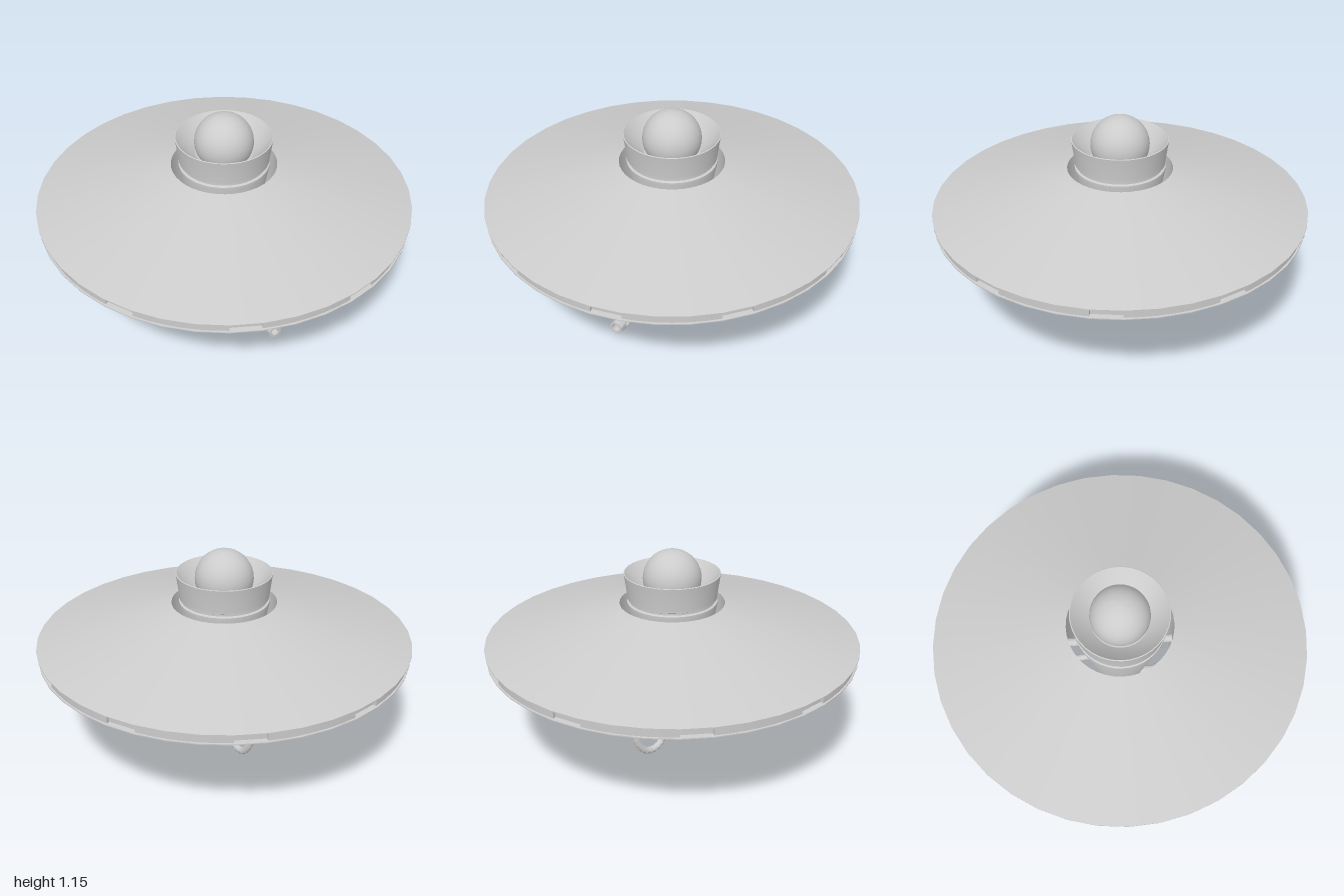
import * as THREE from 'three';
import { toCreasedNormals } from 'three/addons/utils/BufferGeometryUtils.js';

const material = new THREE.MeshStandardMaterial({ color: 0xcccccc, side: THREE.DoubleSide });

function part(name, geometry, parent, crease = 0.5) {
  const mesh = new THREE.Mesh(toCreasedNormals(geometry, crease), material);
  mesh.name = name;
  parent.add(mesh);
  return mesh;
}

function lathe(points, segments) {
  return new THREE.LatheGeometry(points.map(([r, y]) => new THREE.Vector2(r, y)), segments);
}

// Solid arc of a ring, extruded along z from z0 to z1
function arcBlock(r0, r1, a0, a1, z0, z1, curveSegments) {
  const shape = new THREE.Shape();
  if (a1 - a0 > 6.28) {
    shape.absarc(0, 0, r1, 0, Math.PI * 2, false);
    shape.holes.push(new THREE.Path().absarc(0, 0, r0, 0, Math.PI * 2, true));
  } else {
    shape.absarc(0, 0, r1, a0, a1, false);
    shape.absarc(0, 0, r0, a1, a0, true);
  }
  return new THREE.ExtrudeGeometry(shape, { depth: z1 - z0, bevelEnabled: false, curveSegments })
    .translate(0, 0, z0);
}

// Side profile given as [z, y], extruded across x and centred on x
function sidePlate(points, width, x) {
  const shape = new THREE.Shape(points.map(([z, y]) => new THREE.Vector2(-z, y)));
  return new THREE.ExtrudeGeometry(shape, { depth: width, bevelEnabled: false })
    .translate(0, 0, -width / 2).rotateY(Math.PI / 2).translate(x, 0, 0);
}

export function createModel() {
  const model = new THREE.Group();
  model.name = 'hoveringDisc';

  // Double-cone disc with a central hole and a recessed rim
  part('disc', lathe([
    [0.28, 0.42], [0.993, 0.615], [0.993, 0.62], [0.965, 0.622], [0.965, 0.668],
    [1, 0.668], [1, 0.673], [0.28, 0.87], [0.28, 0.42],
  ], 40), model);

  // Rim panels with narrow gaps between them
  const rim = new THREE.Group();
  rim.name = 'rimPanels';
  model.add(rim);
  const step = Math.PI / 20;
  for (let i = 0; i < 10; i++) {
    const a = i * 4 * step;
    part('rimPanel', arcBlock(0.96, 0.982, a, a + 3 * step, 0.62, 0.67, 3)
      .rotateX(-Math.PI / 2), rim);
  }

  // Central body: tapered core, grooved neck and bowl-shaped collar
  part('core', lathe([
    [0, 0.37], [0.145, 0.37], [0.24, 0.865], [0.24, 0.88], [0.228, 0.885],
    [0.228, 0.895], [0.238, 0.9], [0.238, 0.91], [0.255, 1.035],
    [0.25, 1.037], [0.19, 0.97], [0.15, 0.94], [0, 0.94],
  ], 40), model);
  part('dome', new THREE.SphereGeometry(0.155, 32, 20).translate(0, 1.003, 0), model, 1);

  // Pins joining the body to the disc
  for (const s of [1, -1]) {
    part('pivotPin', new THREE.CylinderGeometry(0.022, 0.022, 0.12, 12)
      .rotateX(Math.PI / 2).translate(0, 0.645, s * 0.23), model);
  }

  // Tapered hanger plates with rounded lower ends
  const hanger = [[0.06, 0.38], [0.027, 0.125]];
  for (let i = 1; i < 6; i++) {
    const a = i * Math.PI / 6;
    hanger.push([0.027 * Math.cos(a), 0.125 - 0.025 * Math.sin(a)]);
  }
  hanger.push([-0.027, 0.125], [-0.06, 0.38]);
  for (const s of [1, -1]) part('hanger', sidePlate(hanger, 0.03, s * 0.06), model);

  // Tilting gun: axle, breech block and slotted barrel
  const gun = new THREE.Group();
  gun.name = 'gun';
  model.add(gun);
  part('axle', new THREE.CylinderGeometry(0.022, 0.022, 0.14, 16)
    .rotateZ(Math.PI / 2).translate(0, 0.125, 0), gun);
  part('breech', sidePlate([
    [0.08, 0.085], [0.08, 0.147], [0.045, 0.18], [-0.005, 0.18], [-0.005, 0.205],
    [-0.075, 0.205], [-0.075, 0.085],
  ], 0.07, 0), gun);

  const barrel = new THREE.Group();
  barrel.name = 'barrel';
  barrel.position.y = 0.12;
  gun.add(barrel);
  part('barrelRoot', new THREE.CylinderGeometry(0.026, 0.026, 0.14, 16)
    .rotateX(Math.PI / 2).translate(0, 0, 0.14), barrel);
  const full = Math.PI * 2;
  for (const [z0, z1] of [[0.2, 0.29], [0.395, 0.415], [0.52, 0.57]]) {
    part('barrelRing', arcBlock(0.023, 0.036, 0, full, z0, z1, 16), barrel);
  }
  // Strips above and below the side slots
  for (const [z0, z1] of [[0.29, 0.395], [0.415, 0.52]]) {
    for (const a of [0, Math.PI]) {
      part('barrelStrip', arcBlock(0.023, 0.036, a + 0.25, a + Math.PI - 0.25, z0, z1, 8), barrel);
    }
  }

  // Segmented hose looping from the body to the breech
  const hose = new THREE.Group();
  hose.name = 'hose';
  model.add(hose);
  const curve = new THREE.CatmullRomCurve3([
    [-0.12, 0.395], [-0.2, 0.398], [-0.26, 0.365], [-0.3, 0.29], [-0.302, 0.2],
    [-0.27, 0.105], [-0.21, 0.04], [-0.14, 0.026], [-0.09, 0.05], [-0.06, 0.1],
  ].map(([z, y]) => new THREE.Vector3(0, y, z)));
  const count = 22;
  const up = new THREE.Vector3(0, 1, 0);
  for (let i = 0; i < count; i++) {
    const a = curve.getPointAt(i / count);
    const b = curve.getPointAt((i + 1) / count);
    const length = a.distanceTo(b);
    const link = part('hoseLink', new THREE.CylinderGeometry(0.021, 0.015, length * 1.1, 12), hose);
    link.position.copy(a).lerp(b, 0.5);
    link.quaternion.setFromUnitVectors(up, b.sub(a).normalize());
  }

  return model;
}
